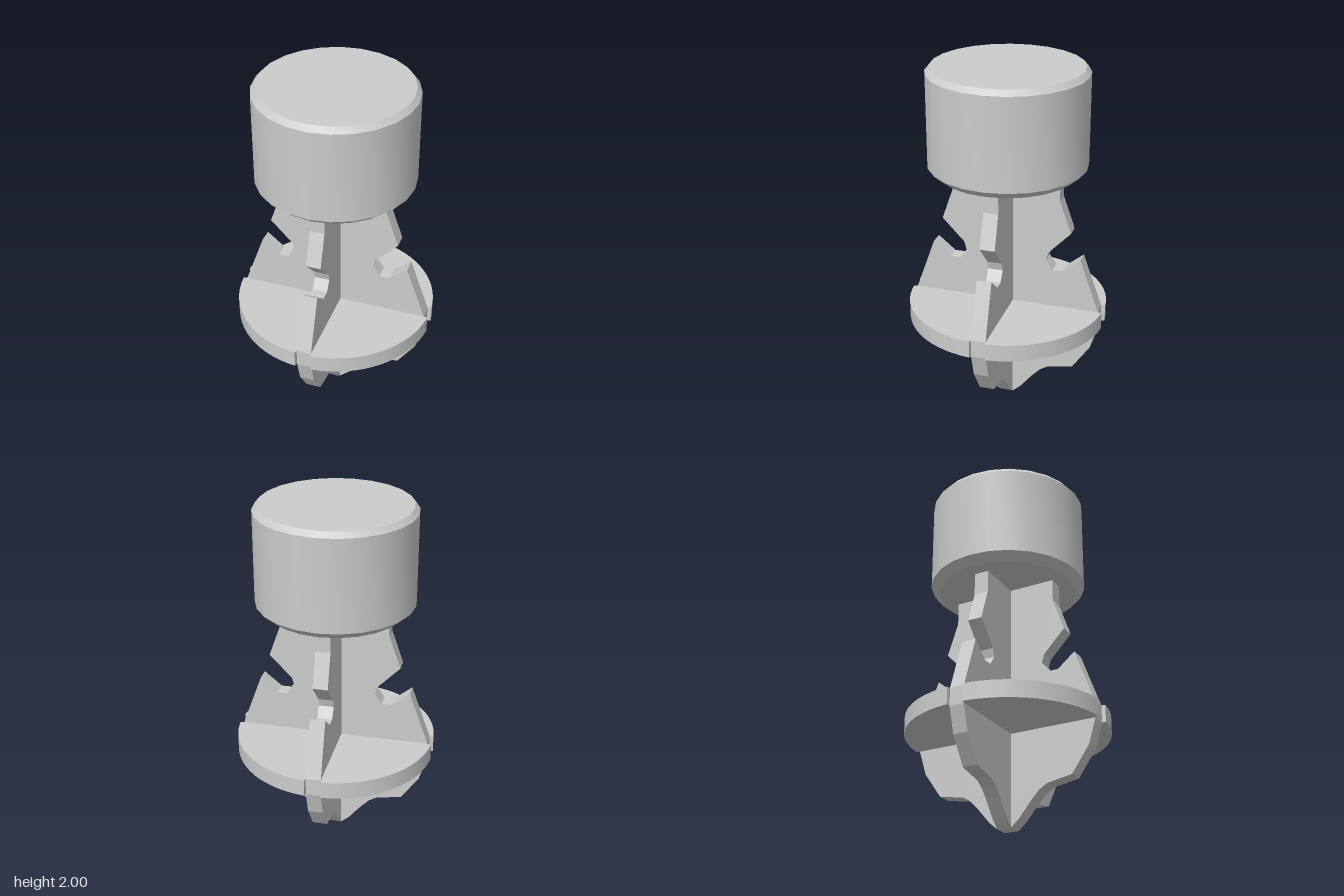
import * as THREE from 'three';
import { toCreasedNormals } from 'three/addons/utils/BufferGeometryUtils.js';

const T = 0.042; // half thickness of a fin

// Right half of the fin outline, from the tip up to the head
const FIN = [
  [T, 0], [0.09, 0.042], [0.164, 0.132], [0.21, 0.18], [0.256, 0.208],
  [0.402, 0.234], [0.503, 0.38], [0.545, 0.52], [0.545, 0.62],
  [0.434, 0.93], [0.333, 0.847], [0.275, 0.847], [0.235, 0.905],
  [0.249, 0.953], [0.376, 1.085], [0.31, 1.275], [0.31, 1.42],
];

// Head profile with a chamfer at both rims
const HEAD = [[0, 1.405], [0.395, 1.405], [0.445, 1.45], [0.445, 1.97], [0.42, 2], [0, 2]];

const vectors = (points) => points.map(([x, y]) => new THREE.Vector2(x, y));

export function createModel() {
  const group = new THREE.Group();
  const material = new THREE.MeshStandardMaterial({ color: 0xcccccc });

  const add = (name, geometry) => {
    const mesh = new THREE.Mesh(geometry, material);
    mesh.name = name;
    group.add(mesh);
    return mesh;
  };

  // Round head
  const head = new THREE.LatheGeometry(vectors(HEAD), 24);
  add('head', toCreasedNormals(head, 0.5));

  // Two crossed fins with notched edges
  const mirrored = FIN.map(([x, y]) => [-x, y]).reverse();
  const finGeometry = new THREE.ExtrudeGeometry(
    new THREE.Shape(vectors([...FIN, ...mirrored])),
    { depth: 2 * T, bevelEnabled: false },
  );
  finGeometry.translate(0, 0, -T);
  add('finAcross', finGeometry);
  add('finLengthwise', finGeometry).rotation.y = Math.PI / 2;

  // Four collar plates filling the corners between the fins
  const radius = 0.568;
  const start = Math.asin(0.046 / radius);
  const plate = new THREE.Shape();
  plate.moveTo(T - 0.004, T - 0.004);
  plate.lineTo(0.54, T);
  plate.absarc(0, 0, radius, start, Math.PI / 2 - start, false);
  plate.lineTo(T, 0.54);
  plate.closePath();
  const plateGeometry = toCreasedNormals(
    new THREE.ExtrudeGeometry(plate, { depth: 0.098, bevelEnabled: false, curveSegments: 8 }),
    0.4,
  );
  plateGeometry.rotateX(-Math.PI / 2);
  plateGeometry.translate(0, 0.523, 0);
  for (let i = 0; i < 4; i++) {
    add(`collarPlate${i + 1}`, plateGeometry).rotation.y = (i * Math.PI) / 2;
  }

  return group;
}
